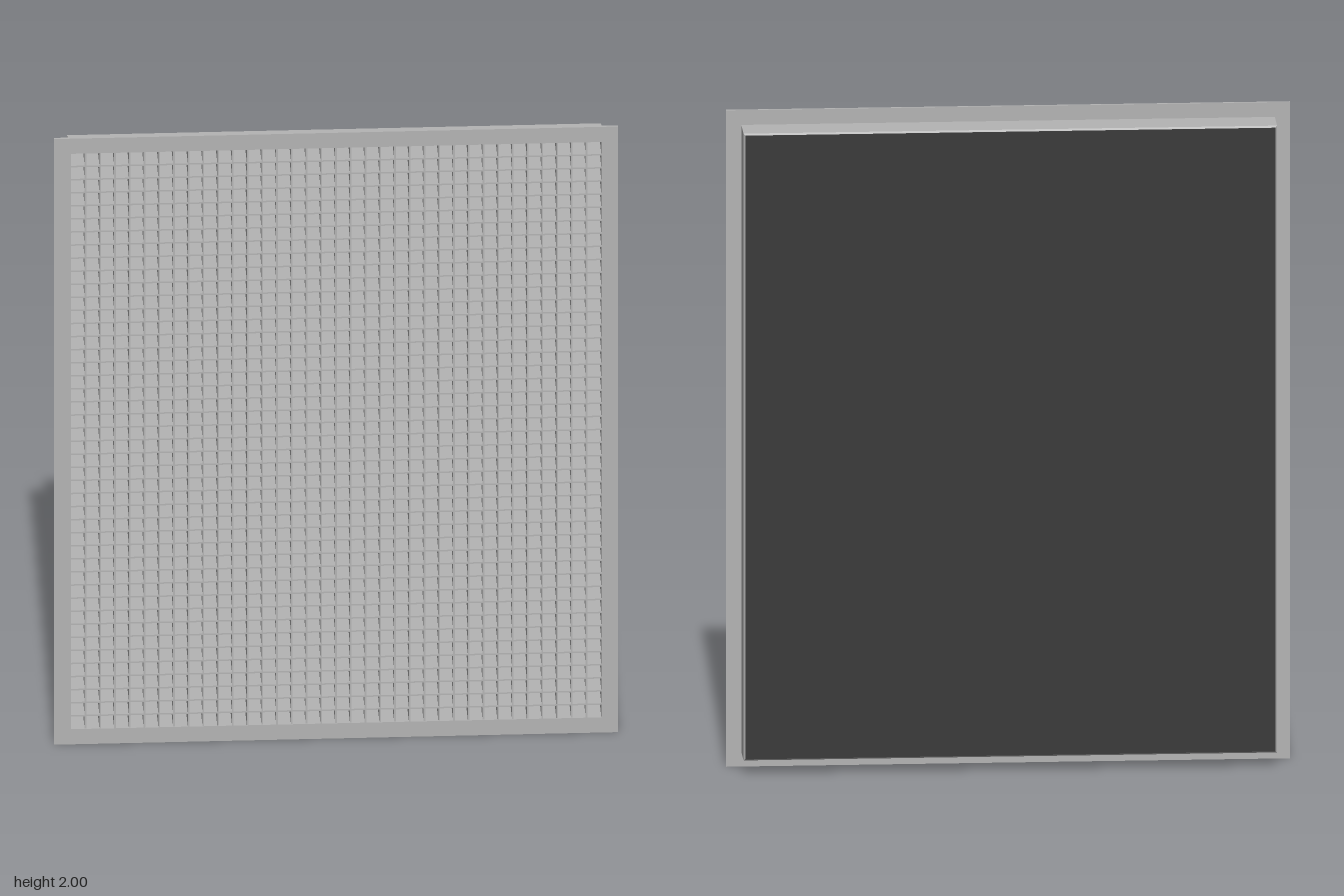
import * as THREE from 'three';

const grey = new THREE.MeshStandardMaterial({ color: 0xb4b4b4 });
grey.name = 'grey metal';
const dark = new THREE.MeshStandardMaterial({ color: 0x393939 });
dark.name = 'dark backing';

const rect = (T, w, h) => new T().moveTo(-w / 2, -h / 2).lineTo(w / 2, -h / 2)
  .lineTo(w / 2, h / 2).lineTo(-w / 2, h / 2).closePath();

// Rectangular ring extruded from z0 to z1
function frame(name, w, h, holeW, holeH, z0, z1) {
  const shape = rect(THREE.Shape, w, h);
  shape.holes.push(rect(THREE.Path, holeW, holeH));
  const geo = new THREE.ExtrudeGeometry(shape, { depth: z1 - z0, bevelEnabled: false });
  const mesh = new THREE.Mesh(geo, grey);
  mesh.name = name;
  mesh.position.set(0, 1, z0);
  return mesh;
}

export function createModel() {
  const model = new THREE.Group();
  model.name = 'ventGrille';
  const openW = 1.57, openH = 1.9, cols = 36, rows = 44;
  const bodyW = 1.58, bodyH = 1.91;

  // Wide front flange and the shallow box behind it
  model.add(frame('frontFlange', 1.67, 2, openW, openH, 0.052, 0.06));
  model.add(frame('boxWalls', bodyW, bodyH, openW, openH, -0.054, 0.052));

  // Closed back with a small chamfer around the rear edge
  const backGeo = new THREE.ExtrudeGeometry(rect(THREE.Shape, bodyW - 0.01, bodyH - 0.01), {
    depth: 0.001, bevelThickness: 0.005, bevelSize: 0.005, bevelSegments: 1,
  });
  const back = new THREE.Mesh(backGeo, grey);
  back.name = 'backPlate';
  back.position.set(0, 1, -0.054);
  model.add(back);

  // Dark sheet covering the back
  const sheet = new THREE.Mesh(new THREE.BoxGeometry(bodyW - 0.01, bodyH - 0.01, 0.003), dark);
  sheet.name = 'backingSheet';
  sheet.position.set(0, 1, -0.0595);
  model.add(sheet);

  // Egg-crate grid of thin crossing blades
  const grid = new THREE.Group();
  grid.name = 'grille';
  const zFront = 0.058, zBack = -0.05, depth = zFront - zBack, t = 0.005;
  const upright = new THREE.BoxGeometry(t, openH, depth);
  const crossbar = new THREE.BoxGeometry(openW, t, depth);
  const addBlade = (name, geo, x, y) => {
    const blade = new THREE.Mesh(geo, grey);
    blade.name = name;
    blade.position.set(x, y, (zFront + zBack) / 2);
    grid.add(blade);
  };
  for (let i = 1; i < cols; i++) addBlade('verticalBlade', upright, (i / cols - 0.5) * openW, 1);
  for (let j = 1; j < rows; j++) addBlade('horizontalBlade', crossbar, 0, 1 + (j / rows - 0.5) * openH);
  model.add(grid);

  return model;
}
